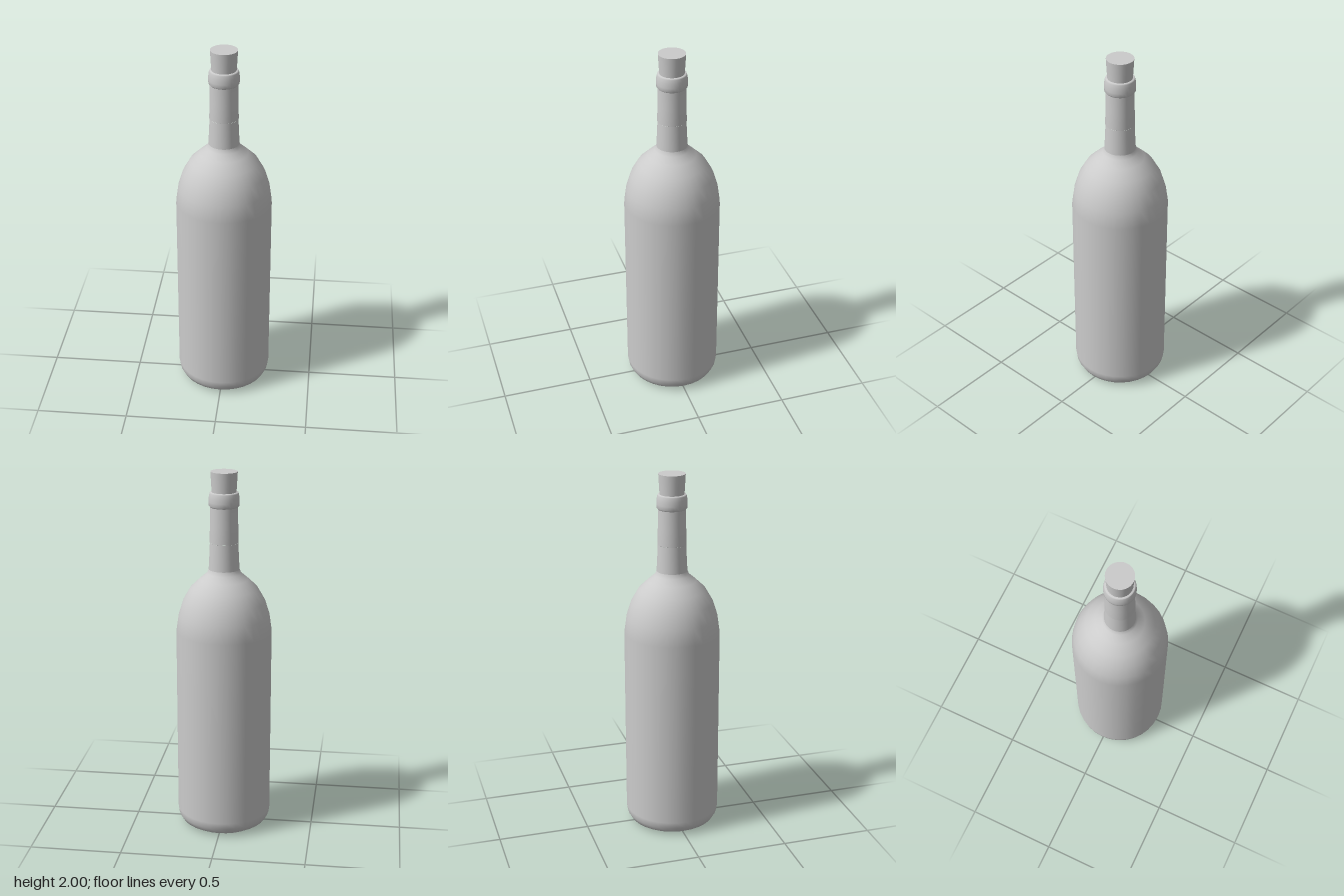
import * as THREE from 'three';

const SIDES = 32;
const material = new THREE.MeshStandardMaterial({ color: 0xcccccc });

// Smooth turned part from [radius, height] pairs, listed from bottom to top
function turned(name, profile) {
  const points = profile.map(([r, y]) => new THREE.Vector2(r, y));
  const mesh = new THREE.Mesh(new THREE.LatheGeometry(points, SIDES), material);
  mesh.name = name;
  return mesh;
}

export function createModel() {
  const bottle = new THREE.Group();
  bottle.name = 'corkedBottle';

  bottle.add(
    // Shallow hollow under the base
    turned('basePunt', [[0, 0.04], [0.1, 0.035], [0.17, 0.02], [0.19, 0.008], [0.205, 0]]),

    // Rounded foot, straight wall and domed shoulder
    turned('body', [
      [0.205, 0], [0.238, 0.02], [0.255, 0.05], [0.26, 0.085], [0.26, 1.13],
      [0.247, 1.22], [0.222, 1.3], [0.182, 1.37], [0.13, 1.42], [0.092, 1.452], [0.083, 1.475],
    ]),

    // Tapered lower neck
    turned('neck', [[0.083, 1.475], [0.079, 1.55], [0.076, 1.62]]),

    // Thin sleeve around the upper neck
    turned('neckSleeve', [[0.075, 1.62], [0.078, 1.622], [0.075, 1.72], [0.074, 1.815]]),

    // Rounded lip closing in on the cork
    turned('lip', [
      [0.074, 1.812], [0.081, 1.82], [0.082, 1.84], [0.081, 1.865], [0.077, 1.885], [0.074, 1.892], [0.06, 1.892],
    ]),
  );

  // Cork, wider at the top
  const cork = new THREE.Mesh(new THREE.CylinderGeometry(0.072, 0.065, 0.12, SIDES), material);
  cork.name = 'cork';
  cork.position.y = 1.94;
  bottle.add(cork);

  return bottle;
}
